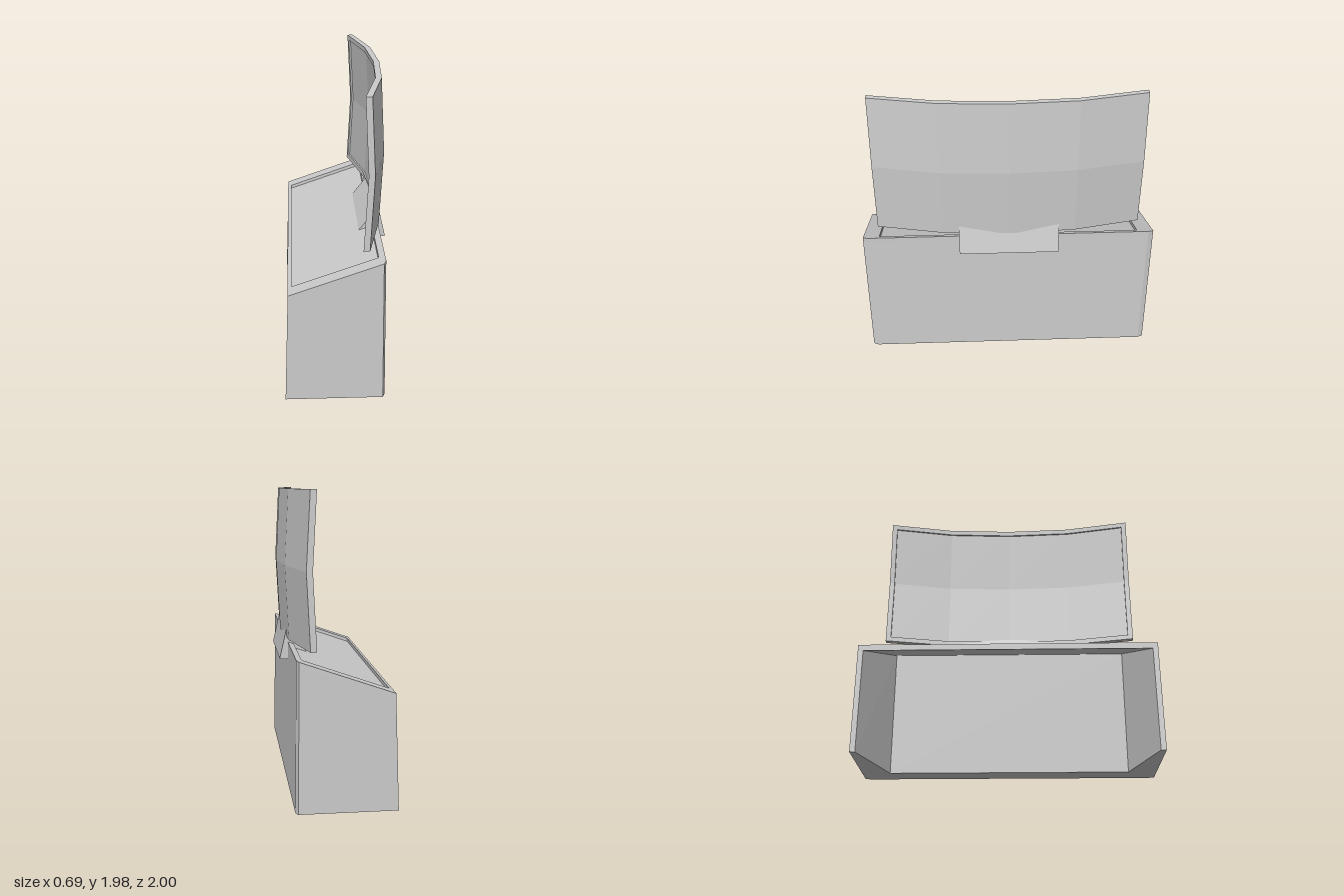
import * as THREE from 'three';

const material = new THREE.MeshStandardMaterial({ color: 0xcccccc, flatShading: true });

function addMesh(parent, name, geometry) {
  const mesh = new THREE.Mesh(geometry, material);
  mesh.name = name;
  parent.add(mesh);
  return mesh;
}

// Skin a stack of loops of [x, y, z] points, bottom to top, and cap both ends
function loft(loops) {
  const pos = [];
  const tri = (...pts) => pts.forEach((p) => pos.push(...p));
  const n = loops[0].length;
  for (let k = 0; k < loops.length - 1; k++) {
    const a = loops[k], b = loops[k + 1];
    for (let i = 0; i < n; i++) {
      const j = (i + 1) % n;
      tri(a[i], b[i], a[j]);
      tri(a[j], b[i], b[j]);
    }
  }
  const cap = (loop, up) => {
    const flat = loop.map(([x, , z]) => new THREE.Vector2(x, z));
    for (const [p, q, r] of THREE.ShapeUtils.triangulateShape(flat, [])) {
      if (up) tri(loop[p], loop[r], loop[q]);
      else tri(loop[p], loop[q], loop[r]);
    }
  };
  cap(loops[0], false);
  cap(loops[loops.length - 1], true);
  const g = new THREE.BufferGeometry();
  g.setAttribute('position', new THREE.Float32BufferAttribute(pos, 3));
  g.computeVertexNormals();
  return g;
}

// Half outline (z > 0) to a full symmetric loop at the height given by yOf(x)
function loopOf(half, yOf) {
  const mirrored = half.map(([x, z]) => [x, -z]).reverse();
  return [...mirrored, ...half].map(([x, z]) => [x, yOf(x), z]);
}

// Sloping plane of the desk top
const slope = (drop) => (x) => 0.75 + 0.35 * (x + 0.32) - drop;

// Curve of the screen: wrapped across z, with a crease at half height
function screenX(y, z) {
  const d = Math.abs(z);
  const across = d < 0.45
    ? THREE.MathUtils.lerp(0.315, 0.29, d / 0.45)
    : THREE.MathUtils.lerp(0.29, 0.195, (d - 0.45) / 0.45);
  return across + 0.025 * (1 - Math.abs(y - 1.488) / 0.4925);
}

// Box bent onto the screen curve; x0..x1 is its depth from the back face
function bentBox(x0, x1, y0, y1, z0, z1, ySeg, zSeg) {
  const g = new THREE.BoxGeometry(x1 - x0, y1 - y0, z1 - z0, 1, ySeg, zSeg);
  g.translate((x0 + x1) / 2, (y0 + y1) / 2, (z0 + z1) / 2);
  const p = g.attributes.position;
  for (let i = 0; i < p.count; i++) p.setX(i, p.getX(i) + screenX(p.getY(i), p.getZ(i)));
  g.computeVertexNormals();
  return g;
}

export function createModel() {
  const model = new THREE.Group();
  model.name = 'deskConsole';

  // Desk body: back wall and two side panels that taper toward the sitter
  const foot = [[0.3, 0.965], [0.285, 1], [-0.345, 1], [-0.34, 0.965], [0.15, 0.81]];
  const head = [[0.29, 0.965], [0.275, 1], [-0.32, 1], [-0.318, 0.965], [0.15, 0.81]];
  addMesh(model, 'deskBody', loft([
    loopOf(foot, () => 0),
    loopOf(head, slope(0.042)),
  ]));

  // Sloping desk top with a sunken work surface
  const edge = [[0.29, 0.965], [0.275, 1], [-0.32, 1]];
  const inset = [[0.25, 0.85], [0.25, 0.89], [-0.295, 0.89]];
  addMesh(model, 'deskTop', loft([
    loopOf(edge, slope(0.042)),
    loopOf(edge, slope(0)),
    loopOf(inset, slope(0)),
    loopOf(inset, slope(0.025)),
  ]));

  // Curved screen with a raised bezel
  const screen = new THREE.Group();
  screen.name = 'screen';
  model.add(screen);
  const y0 = 0.995, y1 = 1.98, w = 0.9, b = 0.035;
  addMesh(screen, 'screenPanel', bentBox(-0.028, 0, y0, y1, -w, w, 2, 4));
  for (const [name, lo] of [['bottomBezel', y0], ['topBezel', y1 - b]]) {
    addMesh(screen, name, bentBox(-0.04, -0.02, lo, lo + b, -w, w, 1, 4));
  }
  for (const [name, lo] of [['rightBezel', -w], ['leftBezel', w - b]]) {
    addMesh(screen, name, bentBox(-0.04, -0.02, y0, y1, lo, lo + b, 2, 1));
  }

  // Wedge bracket that straddles the rear edge of the desk and grips the screen
  const profile = new THREE.Shape([
    [0.165, 0.895], [0.19, 0.87], [0.29, 0.845], [0.345, 0.85], [0.297, 1.06], [0.285, 1.05],
  ].map(([x, y]) => new THREE.Vector2(x, y)));
  const bracket = new THREE.ExtrudeGeometry(profile, { depth: 0.68, bevelEnabled: false });
  bracket.translate(0, 0, -0.34);
  addMesh(model, 'screenBracket', bracket);

  return model;
}
